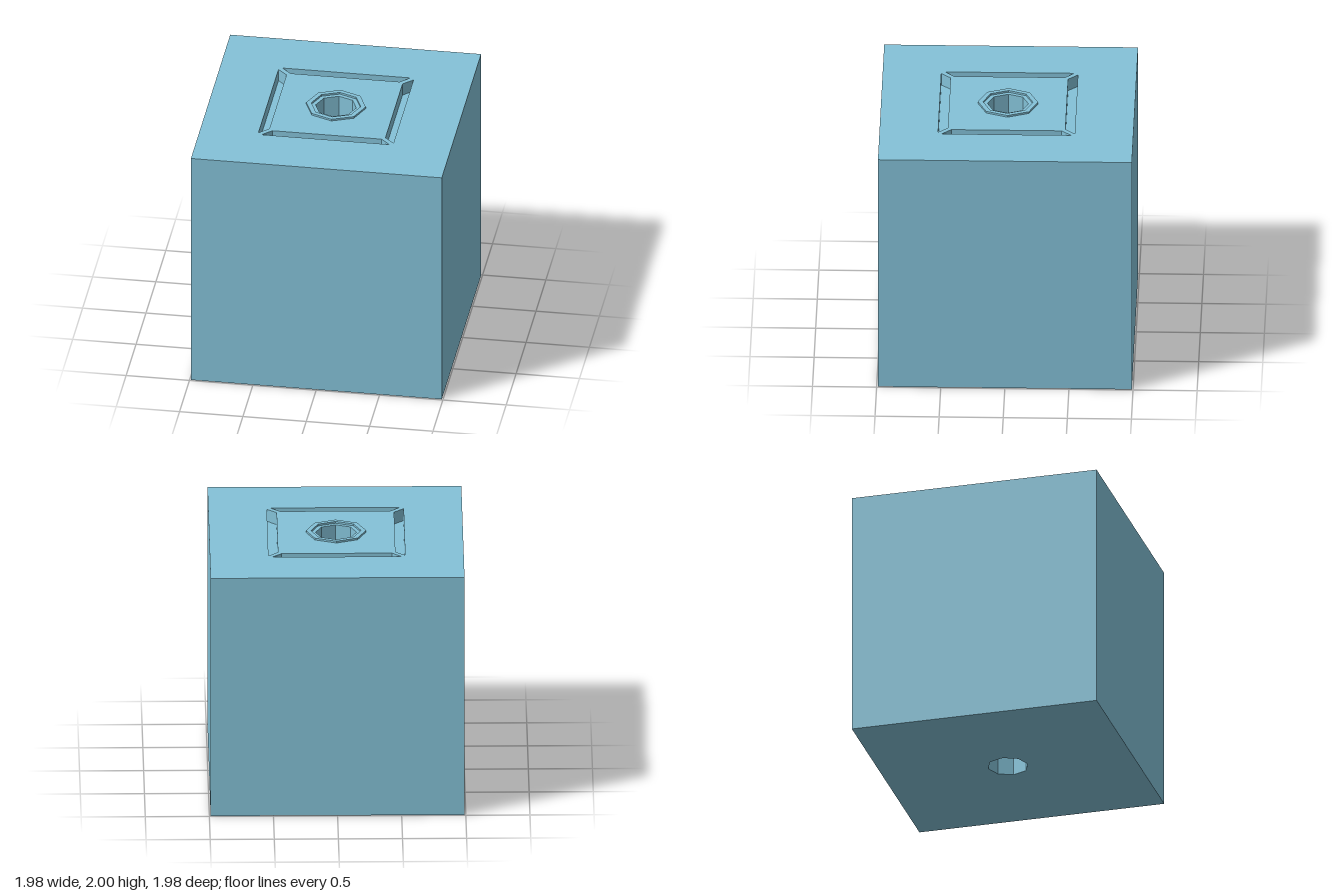
import * as THREE from 'three';
import { mergeGeometries } from 'three/addons/utils/BufferGeometryUtils.js';

const TOP = 1.985, HALF = 0.99, GROOVE_DEPTH = 0.1;

// Loops are [x, z] points, clockwise seen from above
const octagon = r => Array.from({ length: 8 }, (_, i) => {
  const a = i * Math.PI / 4;
  return [r * Math.cos(a), r * Math.sin(a)];
});

// Vertical walls around a loop; reverse the loop to face inward
function walls(loop, y0, y1) {
  const p = [];
  loop.forEach(([ax, az], i) => {
    const [bx, bz] = loop[(i + 1) % loop.length];
    p.push(ax, y0, az, ax, y1, az, bx, y1, bz, ax, y0, az, bx, y1, bz, bx, y0, bz);
  });
  const g = new THREE.BufferGeometry();
  g.setAttribute('position', new THREE.Float32BufferAttribute(p, 3));
  g.computeVertexNormals();
  return g;
}

// Flat face with holes, facing up or down
function cap(loop, holes, y, up = true) {
  const s = up ? -1 : 1;
  const pts = l => l.map(([x, z]) => new THREE.Vector2(x, s * z));
  const shape = new THREE.Shape(pts(loop));
  shape.holes = holes.map(h => new THREE.Path(pts(h)));
  const g = new THREE.ShapeGeometry(shape).toNonIndexed();
  g.deleteAttribute('uv');
  return g.rotateX(s * Math.PI / 2).translate(0, y, 0);
}

const inward = loop => [...loop].reverse();

export function createModel() {
  const group = new THREE.Group();
  const blue = new THREE.MeshStandardMaterial({ color: 0x84c2d8 });
  blue.name = 'soft blue';
  const add = (name, parts) => {
    const mesh = new THREE.Mesh(mergeGeometries(parts), blue);
    mesh.name = name;
    group.add(mesh);
  };

  const square = [[HALF, -HALF], [HALF, HALF], [-HALF, HALF], [-HALF, -HALF]];
  const bore = octagon(0.16);

  // Mitred trapezoid repeated on the four sides
  const trapezoid = [[0.505, 0.533], [-0.505, 0.533], [-0.43, 0.458], [0.43, 0.458]];
  const grooves = [0, 1, 2, 3].map(k => trapezoid.map(([x, z]) => {
    for (let i = 0; i < k; i++) [x, z] = [-z, x];
    return [x, z];
  }));

  // Block with an octagonal bore right through it
  add('block', [
    walls(square, 0, TOP),
    cap(square, [bore, ...grooves], TOP),
    cap(square, [bore], 0, false),
  ]);
  add('bore', [walls(inward(bore), 0, TOP)]);

  // Sunken grooves in the top
  grooves.forEach(g => add('groove', [
    walls(inward(g), TOP - GROOVE_DEPTH, TOP),
    cap(g, [], TOP - GROOVE_DEPTH),
  ]));

  // Raised rim around the bore
  const outer = octagon(0.235), inner = octagon(0.195);
  add('rim', [
    walls(outer, TOP, 2),
    walls(inward(inner), TOP, 2),
    cap(outer, [inner], 2),
  ]);
  return group;
}
